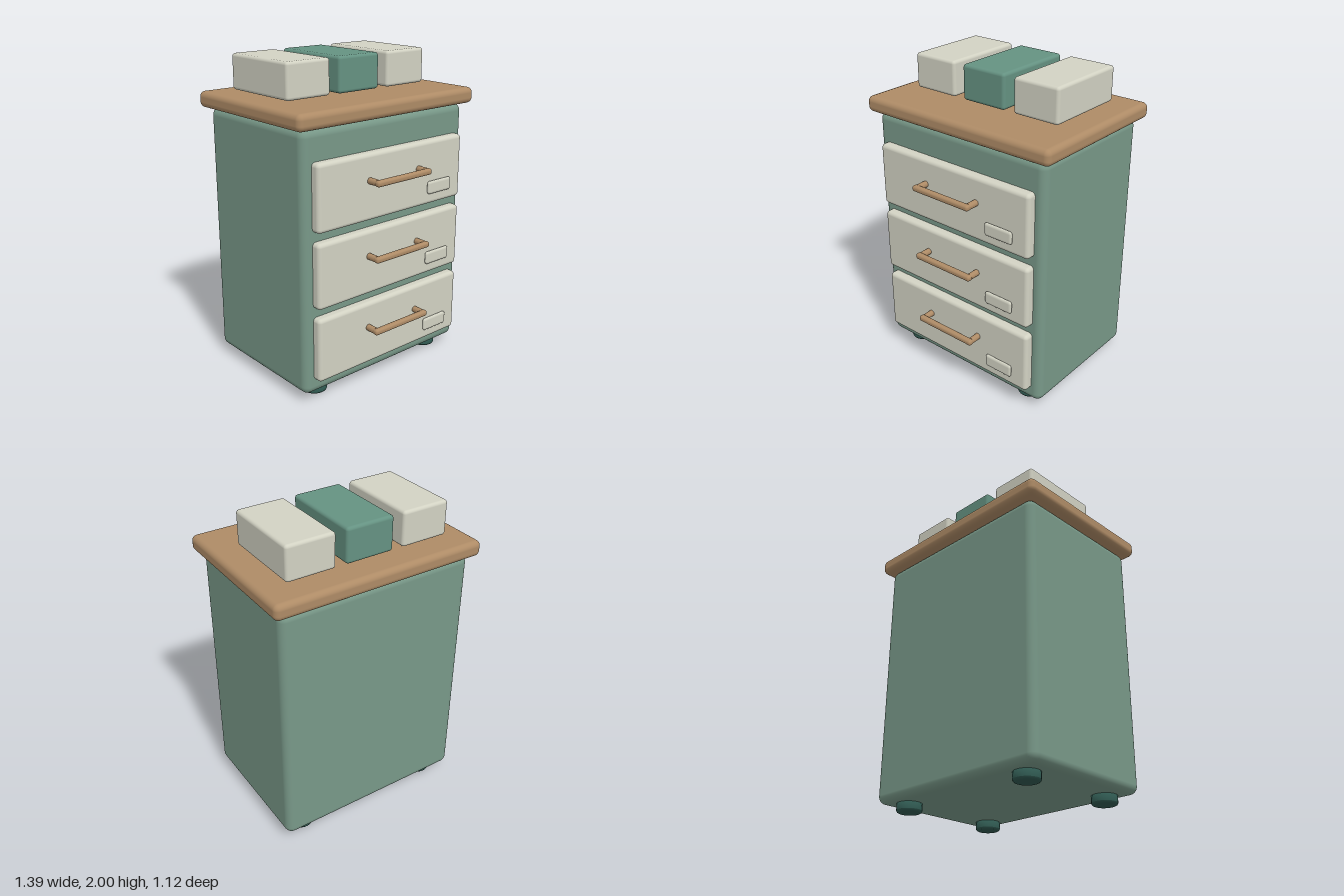
import * as THREE from 'three';
import { RoundedBoxGeometry } from 'three/addons/geometries/RoundedBoxGeometry.js';

const material = (name, color) => {
  const m = new THREE.MeshStandardMaterial({ color });
  m.name = name;
  return m;
};

export function createModel() {
  const sage = material('sage green', 0x789888);
  const teal = material('teal green', 0x659282);
  const cream = material('cream', 0xd2d2c3);
  const wood = material('warm wood', 0xae8b66);
  const dark = material('dark green', 0x2f5850);

  const model = new THREE.Group();
  model.name = 'drawerCabinet';

  const add = (parent, name, geometry, mat, x, y, z) => {
    const mesh = new THREE.Mesh(geometry, mat);
    mesh.name = name;
    mesh.position.set(x, y, z);
    parent.add(mesh);
    return mesh;
  };
  const rounded = (w, h, d, r) => new RoundedBoxGeometry(w, h, d, 4, r);

  // Cabinet body and overhanging top
  add(model, 'cabinetBody', rounded(1.288, 1.615, 0.92, 0.05), sage, 0, 0.8625, -0.055);
  add(model, 'woodTop', rounded(1.39, 0.1, 1.01, 0.035), wood, 0, 1.718, -0.055);

  // Storage boxes on the top
  [[-0.39, cream], [-0.007, teal], [0.377, cream]].forEach(([x, mat]) =>
    add(model, 'storageBox', rounded(0.316, 0.22, 0.553, 0.02), mat, x, 1.89, -0.123));

  // Shared drawer pieces
  const panel = rounded(1.163, 0.406, 0.08, 0.025);
  const post = new THREE.CylinderGeometry(0.02, 0.02, 0.075, 20).rotateX(Math.PI / 2);
  const bar = rounded(0.442, 0.038, 0.04, 0.016);
  const label = rounded(0.2, 0.082, 0.036, 0.017).scale(1, 1, 0.62);

  // Three drawers, each with a handle and a label plate
  for (let i = 0; i < 3; i++) {
    const drawer = new THREE.Group();
    drawer.name = 'drawer';
    drawer.position.y = 0.353 + i * 0.465;
    add(drawer, 'drawerFront', panel, cream, 0, 0, 0.422);
    for (const side of [-1, 1]) add(drawer, 'handlePost', post, wood, side * 0.199, 0.042, 0.492);
    add(drawer, 'handleBar', bar, wood, -0.001, 0.042, 0.541);
    add(drawer, 'labelPlate', label, cream, 0.375, -0.092, 0.472);
    model.add(drawer);
  }

  // Round feet with a softened lower rim
  const foot = new THREE.LatheGeometry([
    [0, 0], [0.066, 0], [0.066, 0], [0.074, 0.004], [0.078, 0.012], [0.078, 0.012], [0.078, 0.065], [0, 0.065],
  ].map(([r, y]) => new THREE.Vector2(r, y)), 28);
  for (const x of [-0.478, 0.478]) {
    for (const z of [0.278, -0.385]) add(model, 'foot', foot, dark, x, 0, z);
  }

  return model;
}
